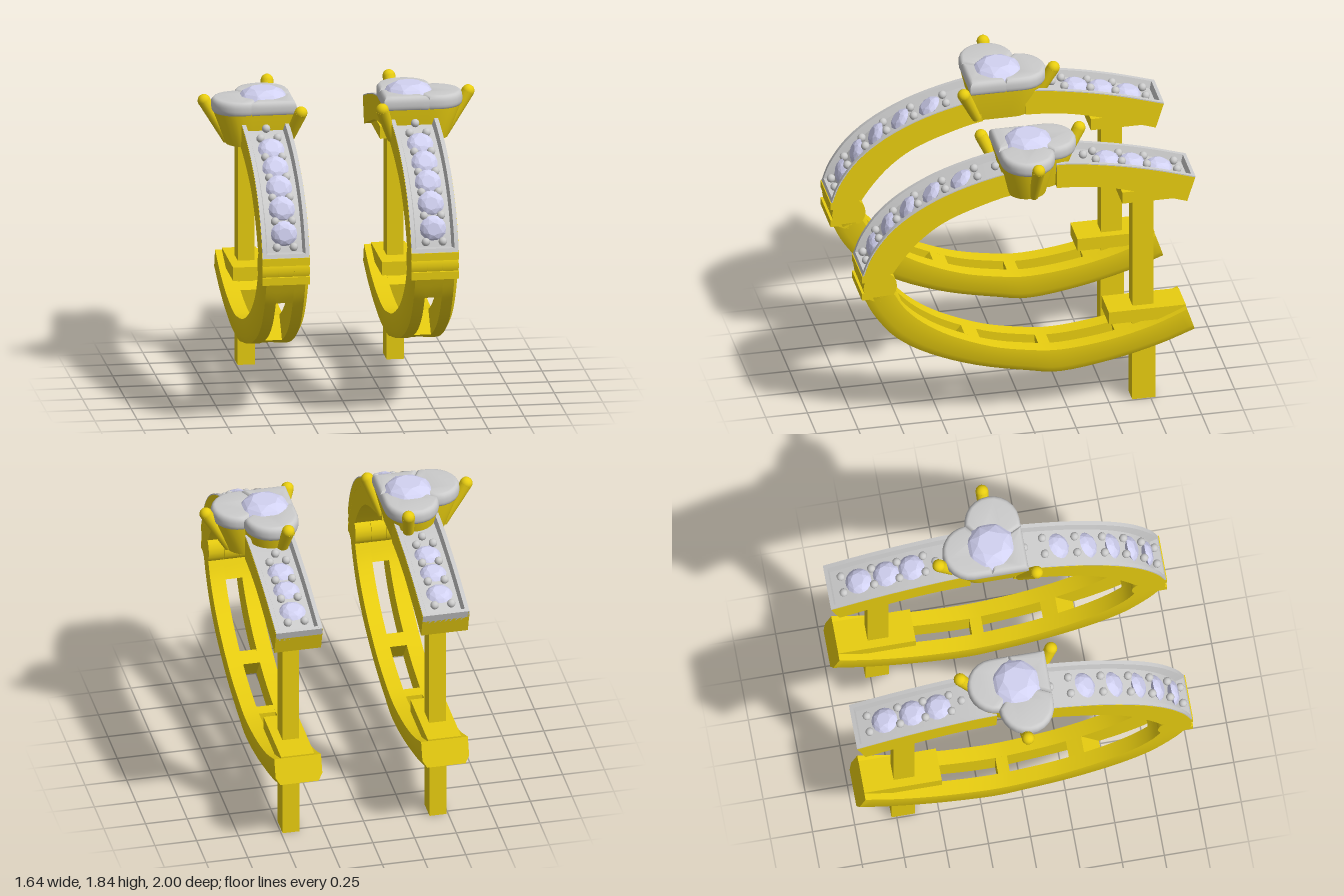
import * as THREE from 'three';
import { toCreasedNormals } from 'three/addons/utils/BufferGeometryUtils.js';
import { ConvexGeometry } from 'three/addons/geometries/ConvexGeometry.js';

const gold = new THREE.MeshStandardMaterial({ color: 0xe8cd10 });
const grey = new THREE.MeshStandardMaterial({ color: 0xcccccc });
const stone = new THREE.MeshStandardMaterial({ color: 0xd2d2f2 });
const V = (x, y, z) => new THREE.Vector3(x, y, z);

function add(parent, name, geo, mat, x = 0, y = 0, z = 0) {
  const m = new THREE.Mesh(geo, mat);
  m.name = name;
  m.position.set(x, y, z);
  parent.add(m);
  return m;
}

// Skin over a row of closed rings; capped at both ends, or joined end to start
function loft(rings, joined = false) {
  let tris = [];
  const n = rings[0].length, count = joined ? rings.length : rings.length - 1;
  for (let i = 0; i < count; i++) {
    const a = rings[i], b = rings[(i + 1) % rings.length];
    for (let j = 0; j < n; j++) {
      const k = (j + 1) % n;
      tris.push([a[j], a[k], b[k]], [a[j], b[k], b[j]]);
    }
  }
  if (!joined) {
    const first = rings[0], last = rings[rings.length - 1];
    for (let j = 1; j < n - 1; j++) {
      tris.push([first[0], first[j + 1], first[j]], [last[0], last[j], last[j + 1]]);
    }
  }
  // turn the faces outward
  const volume = tris.reduce((s, [a, b, c]) => s + a.dot(b.clone().cross(c)), 0);
  if (volume < 0) tris = tris.map(([a, b, c]) => [a, c, b]);
  const geo = new THREE.BufferGeometry().setFromPoints(tris.flat());
  return toCreasedNormals(geo, 0.6);
}

// A band between an outer and an inner curve, rows are [outer z, y, inner z, y]
function makeBand(rows) {
  const outer = new THREE.SplineCurve(rows.map(r => new THREE.Vector2(r[0], r[1])));
  const inner = new THREE.SplineCurve(rows.map(r => new THREE.Vector2(r[2], r[3])));
  const at = (t, d, x = 0) => {
    const p = inner.getPoint(t).lerp(outer.getPoint(t), d);
    return V(x, p.y, p.x);
  };
  const tilt = t => {
    const n = outer.getPoint(t).sub(inner.getPoint(t));
    return Math.atan2(n.x, n.y);
  };
  // profile points are [x, depth], depth 0 inside and 1 outside
  const sweep = (t0, t1, profile) => {
    const steps = Math.max(2, Math.ceil((t1 - t0) * 36)), rings = [];
    for (let i = 0; i <= steps; i++) {
      const t = t0 + (t1 - t0) * i / steps;
      rings.push(profile.map(([x, d]) => at(t, d, x)));
    }
    return loft(rings);
  };
  return { at, tilt, sweep };
}
const rect = (x0, x1, d0, d1) => [[x0, d0], [x1, d0], [x1, d1], [x0, d1]];
const flip = profile => profile.map(([x, d]) => [-x, d]);

const upper = makeBand([
  [0.99, 1.07, 0.81, 1.07], [0.94, 1.2, 0.74, 1.17], [0.83, 1.35, 0.64, 1.28], [0.66, 1.48, 0.5, 1.38],
  [0.42, 1.59, 0.3, 1.46], [0.1, 1.67, 0.07, 1.52], [-0.2, 1.69, -0.2, 1.53], [-0.48, 1.65, -0.46, 1.5],
  [-0.74, 1.59, -0.71, 1.43], [-1, 1.51, -0.95, 1.35]]);
const lower = makeBand([
  [0.98, 0.92, 0.8, 0.93], [0.91, 0.78, 0.74, 0.83], [0.78, 0.62, 0.63, 0.72], [0.58, 0.49, 0.46, 0.61],
  [0.3, 0.38, 0.22, 0.51], [0, 0.31, 0, 0.46], [-0.2, 0.28, -0.2, 0.44], [-0.5, 0.32, -0.48, 0.47],
  [-0.78, 0.39, -0.74, 0.535], [-1, 0.47, -0.95, 0.62]]);

// Faceted round cut, girdle at y = 0
function gemGeometry(r) {
  const pts = [V(0, -0.6 * r, 0)];
  for (const [n, rad, y, turn] of [[8, 0.5, 0.4, 0], [8, 0.8, 0.25, 0.5], [16, 1, 0, 0]]) {
    for (let i = 0; i < n; i++) {
      const a = (i + turn) / n * Math.PI * 2;
      pts.push(V(Math.cos(a) * rad * r, y * r, Math.sin(a) * rad * r));
    }
  }
  return new ConvexGeometry(pts);
}
const smallGem = gemGeometry(0.078), bigGem = gemGeometry(0.155);
const bead = new THREE.SphereGeometry(0.025, 12, 8);
const drill = new THREE.CylinderGeometry(0.025, 0.025, 0.02, 6);

function stoneBand(parent) {
  const rail = [[0.1, 0.66], [0.139, 0.66], [0.139, 1], [0.115, 1]];
  for (const [t0, t1, rows, single] of [
    [0, 0.55, [0.06, 0.165, 0.255, 0.335, 0.415, 0.49], 0.53],
    [0.655, 1, [0.755, 0.82, 0.885, 0.955], 0.728]]) {
    add(parent, 'upperBand', upper.sweep(t0, t1, rect(-0.14, 0.14, 0, 0.7)), gold);
    add(parent, 'channelFloor', upper.sweep(t0, t1, rect(-0.12, 0.12, 0.6, 0.74)), grey);
    for (const f of [p => p, flip]) {
      add(parent, 'channelRim', upper.sweep(t0, t1, f(rail)), grey);
      add(parent, 'bandSide', upper.sweep(t0, t1, f(rect(0.13, 0.1405, 0.66, 0.96))), gold);
    }
    const end = t0 === 0 ? [0, 0.03] : [0.985, 1];
    add(parent, 'channelEnd', upper.sweep(...end, rect(-0.12, 0.12, 0.66, 1)), grey);
    // beads in pairs with a gem between each two rows
    rows.forEach((t, i) => {
      for (const x of [-0.05, 0.05]) add(parent, 'bead', bead, grey, ...upper.at(t, 0.9, x).toArray());
      if (i === rows.length - 1) return;
      const mid = (t + rows[i + 1]) / 2;
      const gem = add(parent, 'smallGem', smallGem, stone, ...upper.at(mid, 0.8).toArray());
      gem.rotation.set(upper.tilt(mid), i * 0.7, 0);
      const hole = add(parent, 'gemSeatHole', drill, stone, ...upper.at(mid, -0.005).toArray());
      hole.rotation.x = upper.tilt(mid);
    });
    add(parent, 'bead', bead, grey, ...upper.at(single, 0.9).toArray());
  }
}

function windowBand(parent) {
  const rail = [[0.05, 0], [0.14, 0], [0.14, 0.72], [0.115, 1], [0.05, 1]];
  add(parent, 'lowerBandRail', lower.sweep(0, 1, rail), gold);
  add(parent, 'lowerBandRail', lower.sweep(0, 1, flip(rail)), gold);
  for (const [a, b] of [[0, 0.11], [0.38, 0.42], [0.6, 0.64], [0.8, 1]]) {
    add(parent, 'crossBar', lower.sweep(a, b, rect(-0.05, 0.05, 0, 1)), gold);
  }
}

function hingeAndPost(parent) {
  // three hinge knuckles between two leaves
  for (const [x, w] of [[-0.094, 0.092], [0, 0.088], [0.094, 0.092]]) {
    const geo = new THREE.CylinderGeometry(0.1, 0.1, w, 20).rotateZ(Math.PI / 2);
    add(parent, 'hingeKnuckle', geo, gold, x, 0.99, 0.885);
  }
  add(parent, 'hingePin', new THREE.CylinderGeometry(0.09, 0.09, 0.27, 20).rotateZ(Math.PI / 2), gold, 0, 0.99, 0.885);
  for (const y of [0.935, 1.05]) {
    add(parent, 'hingeLeaf', new THREE.BoxGeometry(0.28, 0.045, 0.13), gold, 0, y, 0.93);
  }
  add(parent, 'post', new THREE.BoxGeometry(0.1, 1.4, 0.125), gold, 0, 0.7, -0.705);
  add(parent, 'postLowerEnd', new THREE.BoxGeometry(0.102, 0.6, 0.14), gold, 0, 0.3, -0.71);
  add(parent, 'upperPostBlock', new THREE.BoxGeometry(0.2, 0.075, 0.38), gold, 0, 1.3925, -0.76);
  add(parent, 'lowerPostBlock', new THREE.BoxGeometry(0.2, 0.08, 0.46), gold, 0, 0.59, -0.72);
}

// Heart outline in [x, z]: point, edge, two lobes, edge
function heartOutline() {
  const pts = [], r = 0.16, n = 12;
  for (let i = 0; i < 6; i++) pts.push([-0.18, 0.165 - 0.32 * i / 6]);
  for (let i = 0; i < n; i++) {
    const a = Math.PI * (1 + i / n);
    pts.push([-0.02 + r * Math.cos(a), -0.155 + r * Math.sin(a)]);
  }
  for (let i = 0; i < n; i++) {
    const a = Math.PI * (-0.5 + i / n);
    pts.push([0.14 + r * Math.cos(a), 0.005 + r * Math.sin(a)]);
  }
  for (let i = 0; i < 6; i++) pts.push([0.14 - 0.32 * i / 6, 0.165]);
  return pts;
}

function heartHead(parent, side) {
  const heart = heartOutline().map(([x, z]) => [x * side, z]);
  const ring = (s, y) => heart.map(([x, z]) => V(x * s, y, z * s));
  add(parent, 'heartCup', loft([ring(0.72, 1.52), ring(0.97, 1.72), ring(0.98, 1.745), ring(0.85, 1.745),
    ring(0.8, 1.68), ring(0.52, 1.52)], true), gold);

  // three cushioned pieces around the centre gem
  const cx = -0.01 * side, cz = -0.03, n = heart.length;
  for (const [from, to] of [[4, 18], [18, 31], [31, n + 4]]) {
    const rim = [], inside = [];
    for (let i = from; i <= to; i++) {
      const [x, z] = heart[i % n], a = Math.atan2(z - cz, x - cx);
      rim.push(new THREE.Vector2(x, z));
      inside.unshift(new THREE.Vector2(cx + 0.085 * Math.cos(a), cz + 0.085 * Math.sin(a)));
    }
    const geo = new THREE.ExtrudeGeometry(new THREE.Shape([...rim, ...inside]), {
      depth: 0.02, bevelThickness: 0.035, bevelSize: 0.025, bevelOffset: -0.023, bevelSegments: 4 });
    geo.rotateX(Math.PI / 2);
    add(parent, 'heartHaloPiece', toCreasedNormals(geo, 0.8), grey, 0, 1.763, 0);
  }
  add(parent, 'centreGem', bigGem, stone, cx, 1.775, cz);

  // leaning prongs with rounded tips
  for (const [a, b] of [
    [V(0.2, 1.53, -0.02), V(0.34, 1.775, -0.02)],
    [V(-0.05, 1.53, -0.21), V(-0.08, 1.795, -0.35)],
    [V(-0.13, 1.54, 0.12), V(-0.2, 1.74, 0.21)]]) {
    a.x *= side;
    b.x *= side;
    const dir = b.clone().sub(a);
    const prong = add(parent, 'prong', new THREE.CylinderGeometry(0.038, 0.028, dir.length(), 14), gold,
      ...a.clone().lerp(b, 0.5).toArray());
    prong.quaternion.setFromUnitVectors(V(0, 1, 0), dir.normalize());
    add(parent, 'prongTip', new THREE.SphereGeometry(0.038, 14, 10), gold, ...b.toArray());
  }
}

export function createModel() {
  const model = new THREE.Group();
  model.name = 'hoopEarrings';
  for (const side of [-1, 1]) {
    const earring = new THREE.Group();
    earring.name = side > 0 ? 'leftEarring' : 'rightEarring';
    earring.position.x = side * 0.44;
    stoneBand(earring);
    windowBand(earring);
    hingeAndPost(earring);
    heartHead(earring, side);
    model.add(earring);
  }
  return model;
}
